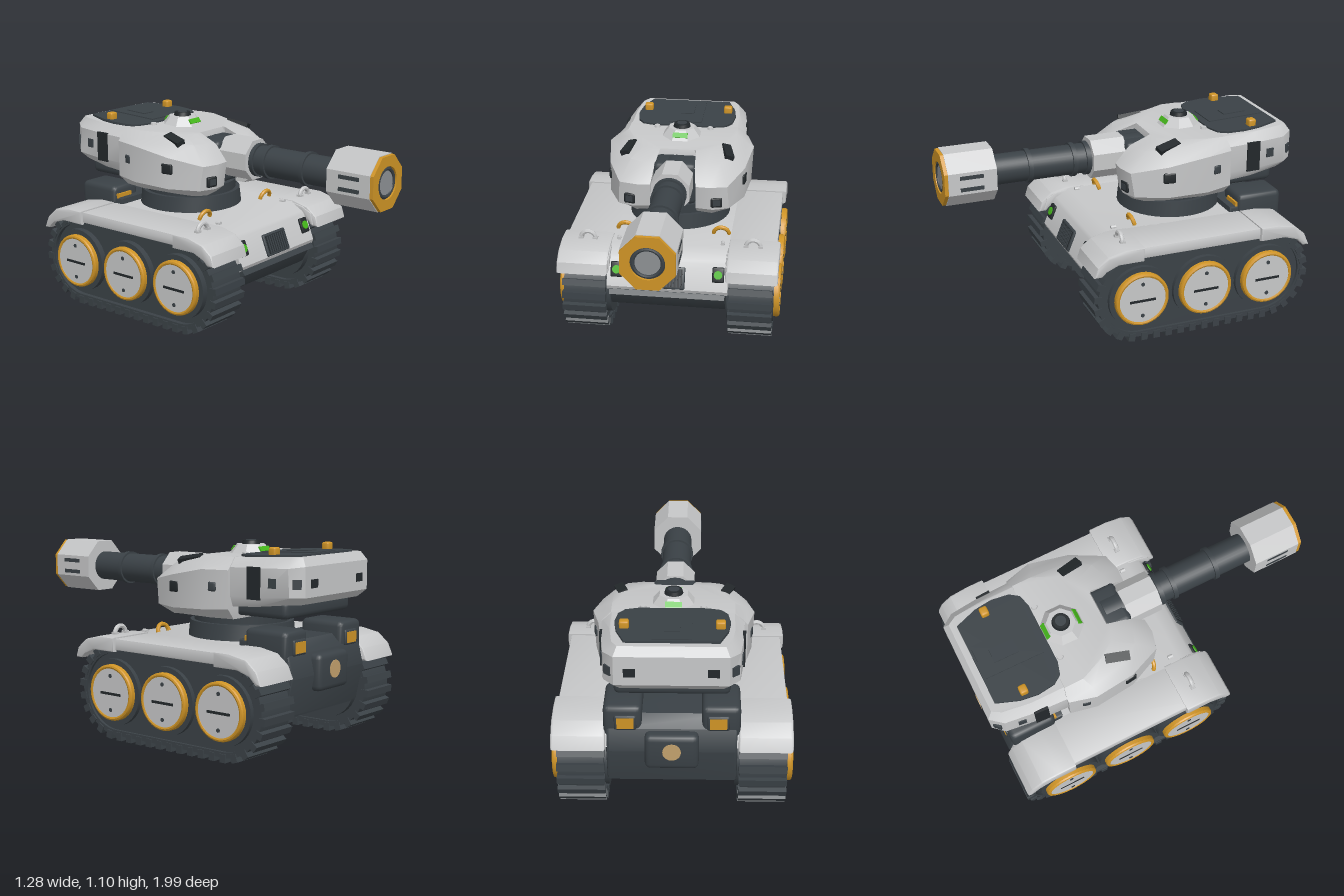
import * as THREE from 'three';
import { toCreasedNormals } from 'three/addons/utils/BufferGeometryUtils.js';
import { RoundedBoxGeometry } from 'three/addons/geometries/RoundedBoxGeometry.js';

const mat = (name, color) => Object.assign(new THREE.MeshStandardMaterial({ color }), { name });
const M = {
  white: mat('paleArmour', 0xc6c7c8),
  dark: mat('darkMetal', 0x3a4146),
  black: mat('blackRecess', 0x23282b),
  yellow: mat('amberTrim', 0xcf9426),
  green: mat('greenLight', 0x46b81c),
  tan: mat('tanCap', 0xc2a06c),
  grey: mat('boreGrey', 0x8d9194),
};

export function createModel() {
  const root = new THREE.Group();
  root.name = 'tank';
  const add = (name, geo, m, x = 0, y = 0, z = 0, rot = [0, 0, 0], parent = root) => {
    const mesh = new THREE.Mesh(toCreasedNormals(geo, 0.55), m);
    mesh.name = name;
    mesh.position.set(x, y, z);
    mesh.rotation.set(...rot);
    parent.add(mesh);
    return mesh;
  };
  const box = (w, h, d) => new THREE.BoxGeometry(w, h, d);
  const rbox = (w, h, d, r = 0.02) => new RoundedBoxGeometry(w, h, d, 2, r);
  const cylX = (r, len, n = 32) => new THREE.CylinderGeometry(r, r, len, n).rotateZ(Math.PI / 2);
  const cylZ = (r, len, n = 32) => new THREE.CylinderGeometry(r, r, len, n).rotateX(Math.PI / 2);
  const poly = pts => new THREE.Shape(pts.map(p => new THREE.Vector2(...p)));
  // Extrude a (z, y) side profile across x0..x1
  const side = (shape, x0, x1, b = 0) => new THREE.ExtrudeGeometry(shape, {
    depth: x1 - x0 - 2 * b, bevelEnabled: b > 0, bevelSize: b, bevelThickness: b,
    bevelOffset: -b, bevelSegments: 2, curveSegments: 20,
  }).rotateY(-Math.PI / 2).translate(x1 - b, 0, 0);

  // Skin over mirrored outlines; each half runs from front to back on +x as [x, y, z]
  const loft = halves => {
    const rings = halves.map(h => [...h, ...[...h].reverse().map(([x, y, z]) => [-x, y, z])]);
    const n = rings[0].length, index = [];
    for (let r = 0; r < rings.length - 1; r++) for (let i = 0; i < n; i++) {
      const a = r * n + i, b = r * n + (i + 1) % n;
      index.push(a, b, b + n, a, b + n, a + n);
    }
    [0, rings.length - 1].forEach(r => {
      const flat = rings[r].map(p => new THREE.Vector2(p[0], -p[2]));
      for (const [a, b, c] of THREE.ShapeUtils.triangulateShape(flat, [])) {
        const o = r * n;
        if (r) index.push(o + a, o + b, o + c); else index.push(o + a, o + c, o + b);
      }
    });
    const g = new THREE.BufferGeometry();
    g.setAttribute('position', new THREE.Float32BufferAttribute(rings.flat(2), 3));
    g.setIndex(index);
    return g;
  };

  // ---- Tracks and wheels ----
  const ZF = 0.055, ZR = -0.705, YC = 0.27;
  const stadium = (r, C = THREE.Shape) => {
    const s = new C();
    s.moveTo(ZR, YC - r);
    s.lineTo(ZF, YC - r);
    s.absarc(ZF, YC, r, -Math.PI / 2, Math.PI / 2, false);
    s.lineTo(ZR, YC + r);
    s.absarc(ZR, YC, r, Math.PI / 2, Math.PI * 1.5, false);
    return s;
  };
  const belt = stadium(0.245);
  belt.holes.push(stadium(0.215, THREE.Path));
  const beltGeo = side(belt, -0.12, 0.12), coreGeo = side(stadium(0.22), -0.095, 0.105);
  const R = 0.248, L = ZF - ZR, total = 2 * L + 2 * Math.PI * R, LUGS = 42;
  const lugAt = d => {
    if (d < L) return [ZR + d, YC - R, -Math.PI / 2];
    d -= L;
    if (d < Math.PI * R) { const a = d / R - Math.PI / 2; return [ZF + R * Math.cos(a), YC + R * Math.sin(a), a]; }
    d -= Math.PI * R;
    if (d < L) return [ZF - d, YC + R, Math.PI / 2];
    const a = (d - L) / R + Math.PI / 2;
    return [ZR + R * Math.cos(a), YC + R * Math.sin(a), a];
  };

  for (const s of [1, -1]) {
    const track = new THREE.Group();
    track.name = s > 0 ? 'leftTrack' : 'rightTrack';
    root.add(track);
    const tx = 0.475 * s;
    add('trackBelt', beltGeo, M.dark, tx, 0, 0, [0, 0, 0], track);
    add('trackCore', coreGeo, M.dark, tx, 0, 0, [0, 0, 0], track);
    for (let i = 0; i < LUGS; i++) {
      const [z, y, a] = lugAt(i * total / LUGS);
      add('trackLug', box(0.252, 0.045, 0.038), M.dark, tx, y, z, [Math.PI / 2 - a, 0, 0], track);
    }
    for (const z of [ZF, (ZF + ZR) / 2, ZR]) {
      const wheel = new THREE.Group();
      wheel.name = 'wheel';
      wheel.position.set(0, YC, z);
      track.add(wheel);
      const w = (name, g, m, x, y = 0) => add(name, g, m, x * s, y, 0, [0, 0, 0], wheel);
      w('wheelDrum', cylX(0.185, 0.27), M.dark, 0.47);
      w('wheelRing', cylX(0.156, 0.05), M.yellow, 0.602);
      w('wheelRim', new THREE.TorusGeometry(0.144, 0.012, 8, 36).rotateY(Math.PI / 2), M.yellow, 0.627);
      w('wheelDisc', cylX(0.136, 0.05), M.white, 0.609);
      w('wheelSlot', box(0.006, 0.014, 0.15), M.black, 0.634, -0.005);
      for (const y of [0.095, -0.095]) w('wheelBolt', cylX(0.011, 0.006, 12), M.dark, 0.635, y);
    }

    // ---- Fenders ----
    const fx = (x0, x1) => s > 0 ? [x0, x1] : [-x1, -x0];
    add('fender', side(poly([[0.3, 0.45], [0.28, 0.52], [0.22, 0.55], [0.12, 0.568], [-0.75, 0.568], [-0.86, 0.55],
      [-0.92, 0.5], [-0.94, 0.44], [-0.92, 0.44], [-0.87, 0.49], [-0.8, 0.505], [0.2, 0.505], [0.27, 0.47], [0.28, 0.45]]),
      ...fx(0.33, 0.608), 0.006), M.white);
    add('frontFender', side(poly([[0.33, 0.44], [0.312, 0.5], [0.25, 0.55], [0.15, 0.575], [0.04, 0.575], [0.04, 0.495],
      [0.19, 0.495], [0.26, 0.465], [0.285, 0.44]]), ...fx(0.335, 0.628), 0.012), M.white);
    add('rearFender', side(poly([[-0.66, 0.495], [-0.66, 0.575], [-0.76, 0.575], [-0.87, 0.555], [-0.935, 0.5],
      [-0.966, 0.43], [-0.93, 0.43], [-0.89, 0.47], [-0.81, 0.495]]), ...fx(0.345, 0.628), 0.012), M.white);
    add('fenderHandle', new THREE.TorusGeometry(0.041, 0.013, 8, 16, Math.PI), M.white, 0.475 * s, 0.577, 0.13);
    for (const e of [1, -1]) add('handleFoot', box(0.028, 0.02, 0.03), M.white, 0.475 * s + 0.041 * e, 0.577, 0.13);

    // ---- Mirrored hull details ----
    add('headlightFrame', rbox(0.068, 0.088, 0.024, 0.008), M.black, 0.29 * s, 0.452, 0.26, [-0.38, 0, 0]);
    add('headlight', cylZ(0.024, 0.008, 20), M.green, 0.29 * s, 0.457, 0.272, [-0.38, 0, 0]);
    add('towRing', new THREE.TorusGeometry(0.044, 0.012, 8, 16, Math.PI), M.yellow, 0.28 * s, 0.578, -0.02, [0.3, 0, 0]);
    add('enginePod', rbox(0.2, 0.2, 0.27, 0.03), M.dark, 0.255 * s, 0.567, -0.785);
    add('podTrim', box(0.11, 0.035, 0.02), M.yellow, 0.28 * s, 0.605, -0.648);
    add('rearLampFrame', rbox(0.115, 0.085, 0.03, 0.01), M.dark, 0.24 * s, 0.577, -0.915);
    add('rearLamp', box(0.088, 0.06, 0.008), M.yellow, 0.24 * s, 0.577, -0.93);
    add('hullBolt', cylZ(0.012, 0.03, 10), M.white, 0.3 * s, 0.572, 0.1);
  }

  // ---- Hull ----
  add('hull', side(poly([[0.14, 0.568], [0.22, 0.525], [0.235, 0.51], [0.295, 0.36], [0.285, 0.335], [-0.65, 0.335],
    [-0.65, 0.568]]), -0.345, 0.345), M.white);
  add('belly', side(poly([[0.29, 0.34], [0.31, 0.315], [0.27, 0.295], [0.23, 0.22], [0.2, 0.2], [-0.88, 0.2],
    [-0.92, 0.34]]), -0.33, 0.33), M.dark);
  const grille = new THREE.Group();
  grille.name = 'frontGrille';
  grille.position.set(0, 0.422, 0.272);
  grille.rotation.x = -0.38;
  root.add(grille);
  add('grilleFrame', rbox(0.205, 0.128, 0.02, 0.008), M.dark, 0, 0, 0, [0, 0, 0], grille);
  add('grillePanel', box(0.175, 0.104, 0.006), M.black, 0, 0, 0.01, [0, 0, 0], grille);
  for (let i = -4; i <= 4; i++) add('grilleBar', box(0.008, 0.1, 0.008), M.dark, i * 0.019, 0, 0.013, [0, 0, 0], grille);
  add('engineBlock', side(poly([[-0.6, 0.6], [-0.86, 0.6], [-0.92, 0.54], [-0.95, 0.42], [-0.91, 0.22], [-0.6, 0.22]]),
    -0.34, 0.34, 0.015), M.dark);
  add('engineBulge', rbox(0.28, 0.2, 0.1, 0.03), M.dark, 0, 0.43, -0.935);
  add('engineCap', cylZ(0.048, 0.02, 24), M.tan, 0, 0.44, -0.979);

  // ---- Turret ----
  const turret = new THREE.Group();
  turret.name = 'turret';
  root.add(turret);
  const t = (name, g, m, x, y, z, rot = [0, 0, 0]) => add(name, g, m, x, y, z, rot, turret);
  t('turretRingBase', new THREE.CylinderGeometry(0.29, 0.3, 0.09, 40), M.dark, 0, 0.61, -0.36);
  t('turretRing', new THREE.CylinderGeometry(0.27, 0.265, 0.08, 40), M.dark, 0, 0.67, -0.36);
  t('turretBody', loft([
    [[.13, .695, -.19], [.13, .695, -.06], [.22, .69, -.05], [.28, .69, -.1], [.33, .7, -.2], [.35, .7, -.42], [.33, .7, -.56]],
    [[.13, .74, -.19], [.13, .74, 0], [.23, .74, .015], [.32, .74, -.02], [.395, .74, -.19], [.42, .75, -.42], [.39, .76, -.57]],
    [[.13, .9, -.19], [.13, .88, .02], [.21, .88, .025], [.31, .88, 0], [.395, .92, -.19], [.43, .965, -.42], [.39, .965, -.57]],
    [[.115, .98, -.19], [.115, .97, -.07], [.18, .975, -.08], [.26, .98, -.11], [.33, .985, -.21], [.38, .995, -.42], [.365, .995, -.57]],
    [[.1, 1.015, -.2], [.11, 1.015, -.19], [.14, 1.015, -.195], [.2, 1.018, -.22], [.265, 1.025, -.31], [.325, 1.03, -.45], [.325, 1.03, -.56]],
  ]), M.white, 0, 0, 0);
  t('turretBustle', loft([
    [[.35, .77, -.54], [.34, .78, -.72], [.31, .8, -.9], [.26, .8, -.95]],
    [[.375, .83, -.54], [.365, .83, -.75], [.345, .84, -.93], [.29, .84, -.99]],
    [[.375, .98, -.54], [.365, .985, -.75], [.345, .99, -.92], [.29, 1, -.99]],
    [[.32, 1.028, -.54], [.32, 1.034, -.75], [.3, 1.044, -.91], [.27, 1.045, -.96]],
  ]), M.white, 0, 0, 0);
  t('bustleUnderside', rbox(0.6, 0.1, 0.36, 0.03), M.dark, 0, 0.768, -0.7);
  t('roofPanel', new THREE.ExtrudeGeometry(poly([[-.18, .53], [.18, .53], [.25, .55], [.285, .6], [.298, .7], [.285, .8],
    [.24, .925], [-.24, .925], [-.285, .8], [-.298, .7], [-.285, .6], [-.25, .55]]), { depth: 0.03, bevelEnabled: false })
    .rotateX(-Math.PI / 2), M.dark, 0, 0.988, 0, [0.04, 0, 0]);
  t('roofHatch', box(0.2, 0.012, 0.34), M.dark, 0, 1.047, -0.74, [0.04, 0, 0]);
  t('roofHatchLid', box(0.08, 0.012, 0.14), M.dark, 0, 1.053, -0.76, [0.04, 0, 0]);
  // Cupola
  t('cupola', new THREE.CylinderGeometry(0.08, 0.125, 0.055, 8).rotateY(Math.PI / 8), M.white, 0, 1.0475, -0.42);
  for (const e of [1, -1])
    t('cupolaLight', box(0.088, 0.03, 0.008), M.green, 0, 1.051, -0.42 + 0.094 * e, [-0.645 * e, 0, 0]);
  t('cupolaLens', new THREE.CylinderGeometry(0.045, 0.052, 0.025, 20), M.black, 0, 1.083, -0.42);
  t('cupolaLensGlass', new THREE.CylinderGeometry(0.03, 0.03, 0.006, 20), M.dark, 0, 1.095, -0.42);
  // Mirrored turret details
  for (const s of [1, -1]) {
    t('cheekVent', box(0.052, 0.03, 0.135), M.black, 0.29 * s, 1.0, -0.23, [0.17, 0.25 * s, -0.36 * s]);
    t('cheekLampFrame', rbox(0.066, 0.06, 0.04, 0.008), M.black, 0.248 * s, 0.785, 0.0, [0, 0.2 * s, 0]);
    t('cheekLamp', box(0.04, 0.034, 0.006), M.dark, 0.252 * s, 0.785, 0.019, [0, 0.2 * s, 0]);
    t('sideSensor', rbox(0.03, 0.06, 0.07, 0.008), M.black, 0.386 * s, 0.855, -0.2, [0, -0.12 * s, 0]);
    t('sidePort', rbox(0.04, 0.05, 0.045, 0.008), M.dark, 0.4 * s, 0.875, -0.475, [0, 0.22 * s, 0]);
    t('sideVent', box(0.03, 0.17, 0.08), M.black, 0.36 * s, 0.905, -0.72, [0, 0.06 * s, 0]);
    t('sideSlot', box(0.025, 0.05, 0.045), M.dark, 0.35 * s, 0.91, -0.83, [0, 0.11 * s, 0]);
    t('rearSlot', box(0.06, 0.045, 0.016), M.black, 0.21 * s, 0.91, -0.985);
    t('rearCornerLight', box(0.045, 0.05, 0.02), M.dark, 0.317 * s, 0.91, -0.957, [0, -0.75 * s, 0]);
    t('beacon', rbox(0.05, 0.06, 0.045, 0.01), M.yellow, 0.245 * s, 1.057, -0.76);
    t('roofBolt', new THREE.CylinderGeometry(0.016, 0.02, 0.02, 10), M.white, 0.16 * s, 1.033, -0.505);
  }

  // ---- Gun ----
  const gun = new THREE.Group();
  gun.name = 'gun';
  gun.position.y = 0.888;
  root.add(gun);
  const g = (name, geo, m, z, x = 0, y = 0) => add(name, geo, m, x, y, z, [0, 0, 0], gun);
  const oct = (r, len) => new THREE.CylinderGeometry(r, r, len, 8).rotateY(Math.PI / 8).rotateX(Math.PI / 2).scale(0.965, 1, 1);
  g('mantlet', rbox(0.25, 0.25, 0.2, 0.03), M.dark, -0.15, 0, -0.03);
  g('barrelSleeve', cylZ(0.105, 0.18, 24), M.dark, -0.08);
  g('barrelCollar', oct(0.122, 0.2), M.white, 0.04);
  g('barrel', cylZ(0.085, 0.62, 32), M.dark, 0.42);
  for (const z of [0.16, 0.24, 0.5]) g('barrelBand', cylZ(0.096, 0.025, 32), M.dark, z);
  g('muzzle', oct(0.162, 0.27), M.white, 0.845);
  const rim = poly([...Array(8)].map((_, i) => {
    const a = Math.PI / 8 + i * Math.PI / 4;
    return [0.153 * Math.cos(a), 0.158 * Math.sin(a)];
  }));
  rim.holes.push(new THREE.Path().absarc(0, 0, 0.09, 0, Math.PI * 2, true));
  g('muzzleRim', new THREE.ExtrudeGeometry(rim, { depth: 0.02, bevelEnabled: false, curveSegments: 24 }), M.yellow, 0.98);
  g('boreRing', cylZ(0.09, 0.008), M.dark, 0.982);
  g('boreLip', new THREE.TorusGeometry(0.076, 0.011, 8, 32), M.dark, 0.987);
  g('bore', cylZ(0.066, 0.008), M.grey, 0.985);
  for (const s of [1, -1]) for (const y of [0.032, -0.035])
    g('muzzleSlot', box(0.008, 0.022, 0.13), M.dark, 0.85, 0.142 * s, y);
  return root;
}
